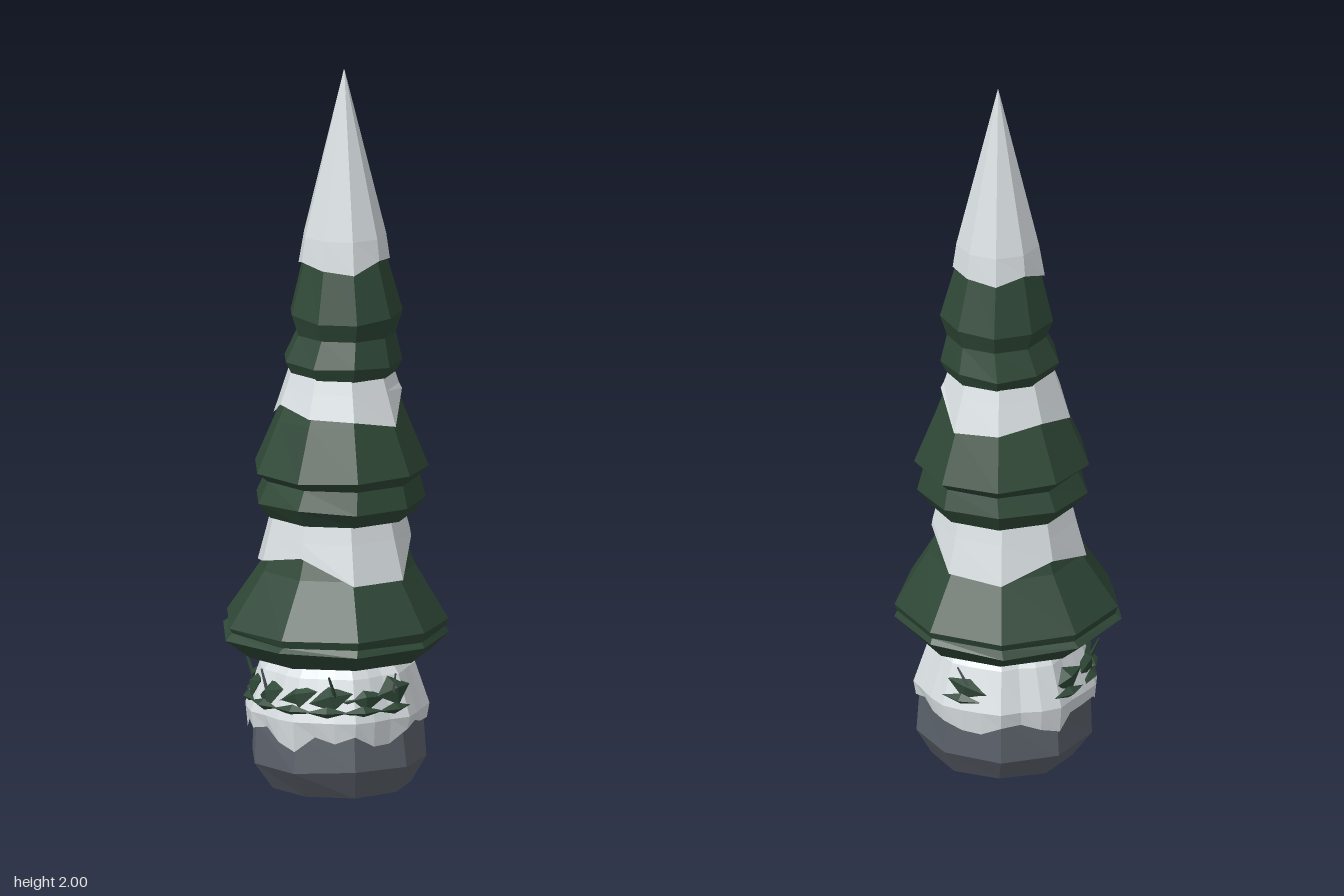
import * as THREE from 'three';

const SIDES = 9;
const mat = (color) => new THREE.MeshStandardMaterial({ color, flatShading: true, side: THREE.DoubleSide });
// small repeatable variation in -1..1
const vary = (i, seed) => {
  const s = Math.sin(i * 12.9898 + seed * 78.233) * 43758.5453;
  return 2 * (s - Math.floor(s)) - 1;
};

// Skin a stack of rings listed top to bottom.
// Ring: { y, r, cx, dy, dr } where dy and dr are optional offsets per corner.
function loft(rings, { top = false, bottom = false, n = SIDES } = {}) {
  const pos = [], idx = [];
  for (const { y, r, cx = 0, dy, dr } of rings) {
    for (let i = 0; i < n; i++) {
      const a = (i / n) * Math.PI * 2;
      const rad = r + (dr ? dr(i) : 0);
      pos.push(cx + Math.cos(a) * rad, y + (dy ? dy(i) : 0), Math.sin(a) * rad);
    }
  }
  for (let k = 0; k < rings.length - 1; k++) {
    for (let i = 0; i < n; i++) {
      const a = k * n + i, b = k * n + (i + 1) % n;
      idx.push(a, b, a + n, b, b + n, a + n);
    }
  }
  const cap = (k, up) => {
    const c = pos.length / 3, { y, cx = 0 } = rings[k];
    pos.push(cx, y, 0);
    for (let i = 0; i < n; i++) {
      const a = k * n + i, b = k * n + (i + 1) % n;
      idx.push(...(up ? [c, b, a] : [c, a, b]));
    }
  };
  if (top) cap(0, true);
  if (bottom) cap(rings.length - 1, false);
  const g = new THREE.BufferGeometry();
  g.setAttribute('position', new THREE.Float32BufferAttribute(pos, 3));
  g.setIndex(idx);
  g.computeVertexNormals();
  return g;
}

export function createModel() {
  const tree = new THREE.Group();
  tree.name = 'snowyTree';
  const green = mat(0x2f4837), snow = mat(0xd9dfe2), rock = mat(0x5c626b);
  const add = (name, geo, material, parent = tree) => {
    const m = new THREE.Mesh(geo, material);
    m.name = name;
    parent.add(m);
    return m;
  };

  // Foliage tiers: a sloping skirt with a crease and a second lip below it
  const rim = (seed, amount) => (i) => vary(i, seed) * amount;
  add('lowerFoliage', loft([
    { y: 0.74, r: 0.16 },
    { y: 0.61, r: 0.215 },
    { y: 0.46, r: 0.31, cx: -0.005, dy: rim(1, 0.006) },
    { y: 0.44, r: 0.302, cx: -0.005, dy: rim(2, 0.005) },
    { y: 0.422, r: 0.316, cx: -0.01, dy: rim(3, 0.006) },
    { y: 0.372, r: 0.258 },
  ], { top: true, bottom: true }), green);
  add('middleFoliage', loft([
    { y: 1.13, r: 0.14, cx: 0.015 },
    { y: 1.03, r: 0.183, cx: 0.01 },
    { y: 0.89, r: 0.243, cx: 0.008, dy: rim(4, 0.005) },
    { y: 0.862, r: 0.215, cx: 0.012 },
    { y: 0.805, r: 0.237, cx: 0.006, dy: rim(5, 0.006) },
    { y: 0.76, r: 0.205, cx: 0.008 },
  ], { top: true, bottom: true }), green);
  add('upperFoliage', loft([
    { y: 1.5, r: 0.11, cx: 0.02 },
    { y: 1.32, r: 0.157, cx: 0.023, dy: rim(6, 0.005) },
    { y: 1.265, r: 0.138, cx: 0.023 },
    { y: 1.19, r: 0.165, cx: 0.014, dy: rim(7, 0.005) },
    { y: 1.155, r: 0.148, cx: 0.016 },
  ], { top: true, bottom: true }), green);

  // Snow collars with ragged lower edges; a raised corner lets a green peak through
  const collar = (name, cx, rings, drops) => {
    const edge = rings[rings.length - 1];
    edge.dy = (i) => drops[i];
    edge.dr = (i) => -drops[i] * 0.3;
    add(name, loft(rings.map((q) => ({ cx, ...q })), { top: true }), snow);
  };
  collar('lowerSnow', 0, [{ y: 0.77, r: 0.185 }, { y: 0.71, r: 0.2 }, { y: 0.6, r: 0.23 }],
    [0.09, 0, 0, 0.07, 0.04, 0.01, 0.05, 0, 0.01]);
  collar('middleSnow', 0.01, [{ y: 1.165, r: 0.145 }, { y: 1.12, r: 0.16 }, { y: 1.025, r: 0.192 }],
    [0.08, 0, 0.025, 0.03, 0.05, 0, 0.03, 0.01, 0]);
  collar('tipSnow', 0.02, [{ y: 2, r: 0.001 }, { y: 1.54, r: 0.115 }, { y: 1.45, r: 0.131 }],
    [0.02, 0.03, 0, 0.01, 0.02, 0.0, 0.03, 0.01, 0.02]);

  // Snow bank around the foot, ribbed, with a jagged hem over the rock
  const n = SIDES * 3;
  const rib = (i) => (i % 3 === 0 ? 0.006 : vary(i, 9) * 0.008 - 0.004);
  add('snowBank', loft([
    { y: 0.375, r: 0.18, dr: rib },
    { y: 0.335, r: 0.208, dr: rib },
    { y: 0.22, r: 0.247, dr: rib },
    { y: 0.165, r: 0.24, dr: rib, dy: (i) => vary(i, 10) * 0.032 },
  ], { n, top: true }), snow);

  // Rock base
  add('rockBase', loft([
    { y: 0.225, r: 0.215 },
    { y: 0.19, r: 0.233, dr: rim(11, 0.006) },
    { y: 0.075, r: 0.245, dr: rim(12, 0.006), dy: rim(13, 0.008) },
    { y: 0, r: 0.195, cx: 0.008, dr: rim(14, 0.008) },
  ], { top: true, bottom: true }), rock);

  // Low shrub tufts with thin twigs, in a broken band around the snow bank
  const tuftLeaf = new THREE.OctahedronGeometry(1, 0);
  const twig = new THREE.CylinderGeometry(0.003, 0.007, 0.11, 4);
  [48, 72, 96, 120, 146, 172, 198, 228, 305].forEach((deg, k) => {
    const tuft = new THREE.Group();
    tuft.name = 'shrubTuft';
    tuft.rotation.y = -THREE.MathUtils.degToRad(deg);
    tree.add(tuft);
    const leaf = add('tuftLeaves', tuftLeaf, green, tuft);
    leaf.scale.set(0.022, 0.04 + 0.008 * vary(k, 15), 0.062);
    leaf.position.set(0.222, 0.285 + 0.012 * vary(k, 16), 0);
    leaf.rotation.set(0.35 * vary(k, 17), 0, 0.45);
    const lower = add('tuftHem', tuftLeaf, green, tuft);
    lower.scale.set(0.02, 0.016, 0.06);
    lower.position.set(0.238, 0.25, 0.01);
    if (k % 2 === 0) {
      const t = add('twig', twig, k % 4 ? green : rock, tuft);
      t.position.set(0.238, 0.305, 0.025 * vary(k, 18));
      t.rotation.set(0.35 * vary(k, 19), 0, -0.4);
    }
  });

  return tree;
}
